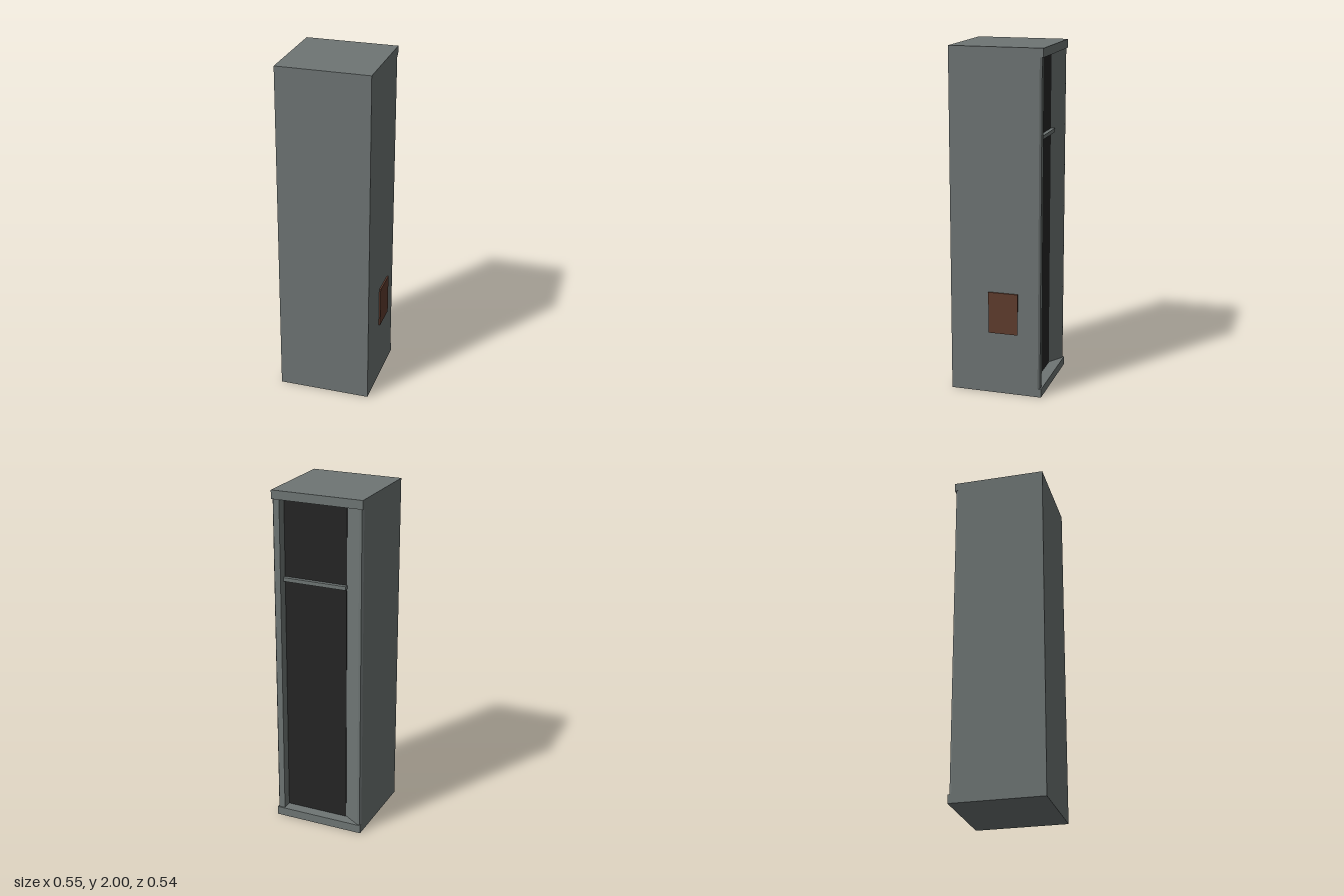
import * as THREE from 'three';

const grey = new THREE.MeshStandardMaterial({ name: 'grey painted steel', color: 0x6e7574 });
const black = new THREE.MeshStandardMaterial({ name: 'dark glass', color: 0x252525 });
const brown = new THREE.MeshStandardMaterial({ name: 'rust brown', color: 0x603c2e });

// Box given by its lower and upper corners
function box(name, material, [x0, y0, z0], [x1, y1, z1]) {
  const mesh = new THREE.Mesh(new THREE.BoxGeometry(x1 - x0, y1 - y0, z1 - z0), material);
  mesh.name = name;
  mesh.position.set((x0 + x1) / 2, (y0 + y1) / 2, (z0 + z1) / 2);
  return mesh;
}

export function createModel() {
  const group = new THREE.Group();
  group.name = 'cabinet';
  const left = 0.265, right = -0.275, front = 0.27, back = -0.27;
  const lip = 0.05, panelZ = -0.2;

  // Cabinet body: plan outline [x, z] with a recessed rear, one side of it splayed
  const plan = [
    [right, front], [left, front],
    [left, -0.25], [left - 0.008, -0.262], [left - 0.044, -0.262],
    [0.221, panelZ], [-0.155, panelZ],
    [-0.252, -0.262], [right + 0.008, -0.262], [right, -0.25],
  ];
  const shape = new THREE.Shape(plan.map(([x, z]) => new THREE.Vector2(x, -z)));
  const bodyGeometry = new THREE.ExtrudeGeometry(shape, { depth: 2 - 2 * lip, bevelEnabled: false });
  bodyGeometry.rotateX(-Math.PI / 2);
  const body = new THREE.Mesh(bodyGeometry, grey);
  body.name = 'body';
  body.position.y = lip;
  group.add(body);

  // Top and bottom slabs project past the recess
  group.add(box('base', grey, [right, 0, back], [left, lip, front]));
  group.add(box('top', grey, [right, 2 - lip, back], [left, 2, front]));

  // Dark rear panel with its crossbar
  group.add(box('rearPanel', black, [-0.155, lip, panelZ - 0.004], [0.221, 2 - lip, panelZ]));
  group.add(box('crossbar', grey, [-0.157, 1.475, panelZ - 0.028], [0.221, 1.497, panelZ]));

  // Plate on the left side
  group.add(box('sidePlate', brown, [left, 0.367, -0.13], [left + 0.009, 0.61, 0.043]));
  return group;
}
